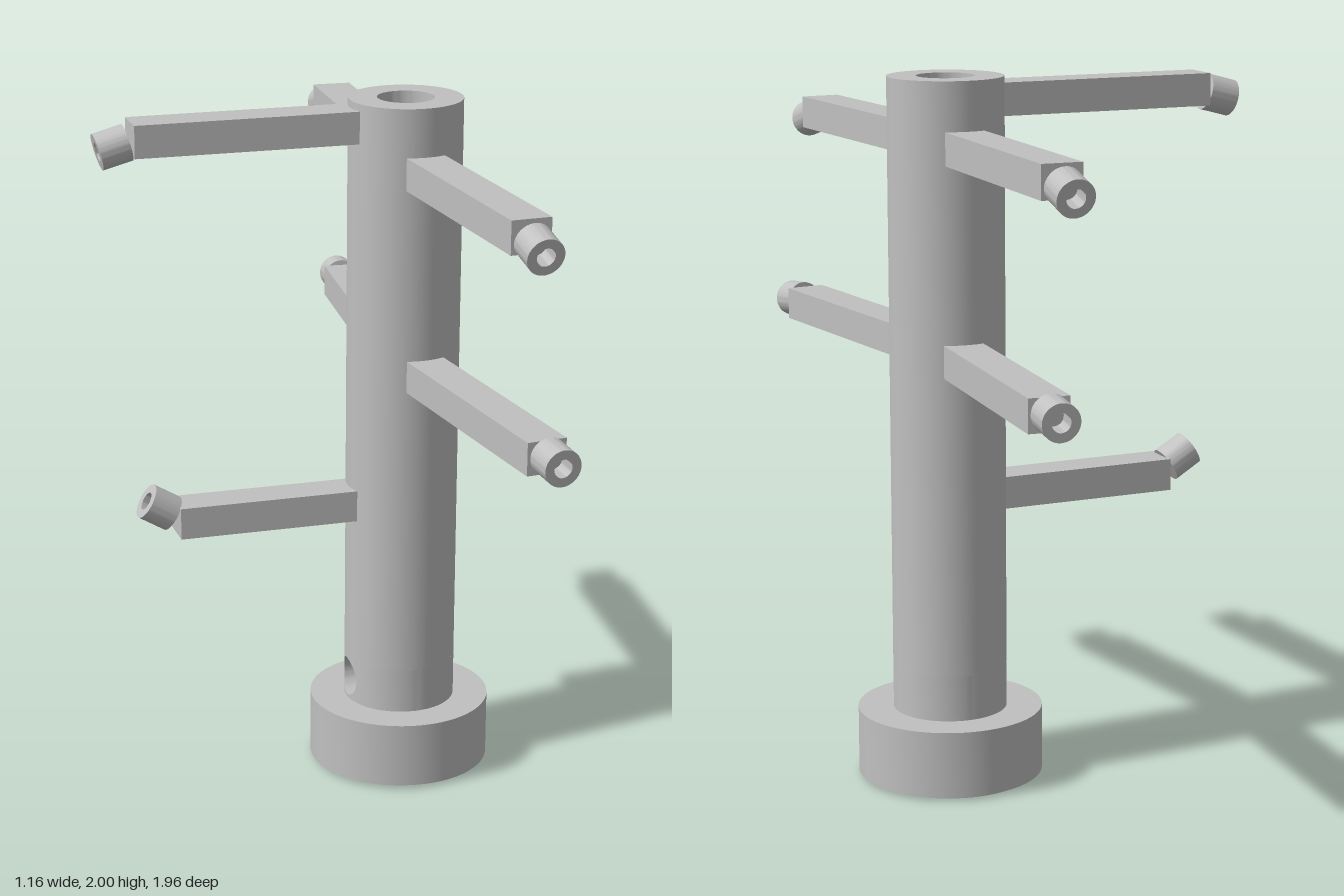
import * as THREE from 'three';
import { toCreasedNormals } from 'three/addons/utils/BufferGeometryUtils.js';

const R = 0.162, BORE = 0.081;         // column radii
const BAND_LOW = 0.2, BAND_HIGH = 0.33; // band of the column holding the side hole
const HALF_W = 0.07, HOLE_R = 0.058;

const smooth = (geo) => toCreasedNormals(geo, 0.6);

function lathe(points, start = 0, length = Math.PI * 2) {
  return smooth(new THREE.LatheGeometry(points.map(([x, y]) => new THREE.Vector2(x, y)), 64, start, length));
}

// Flat disc with round holes [x, radius], standing from y to y + height
function disc(radius, holes, y, height) {
  const shape = new THREE.Shape().absarc(0, 0, radius, 0, Math.PI * 2);
  for (const [x, r] of holes) shape.holes.push(new THREE.Path().absarc(x, 0, r, 0, Math.PI * 2, true));
  const geo = new THREE.ExtrudeGeometry(shape, { depth: height, bevelEnabled: false, curveSegments: 64 });
  return smooth(geo.rotateX(-Math.PI / 2).translate(0, y, 0));
}

// Wall patch around the side hole: outer face, tunnel and inner face in one ribbon
function holePatch() {
  const n = 48, pos = [], index = [];
  const midY = (BAND_LOW + BAND_HIGH) / 2, halfH = (BAND_HIGH - BAND_LOW) / 2;
  const rows = [[R, 1], [R, 0.5], [R, 0], [BORE, 0], [BORE, 0.5], [BORE, 1]];
  const clamp = (v) => THREE.MathUtils.clamp(v * Math.SQRT2, -1, 1);
  rows.forEach(([radius, t], i) => {
    for (let k = 0; k < n; k++) {
      const a = (k / n) * Math.PI * 2, c = Math.cos(a), s = Math.sin(a);
      const z = THREE.MathUtils.lerp(HOLE_R * c, HALF_W * clamp(c), t);
      const y = THREE.MathUtils.lerp(HOLE_R * s, halfH * clamp(s), t);
      pos.push(-Math.sqrt(radius * radius - z * z), midY + y, z);
      if (i < rows.length - 1) {
        const p = i * n + k, q = i * n + ((k + 1) % n);
        index.push(p, q, p + n, q, q + n, p + n);
      }
    }
  });
  const geo = new THREE.BufferGeometry();
  geo.setAttribute('position', new THREE.Float32BufferAttribute(pos, 3));
  geo.setIndex(index);
  return smooth(geo);
}

export function createModel() {
  const grey = new THREE.MeshStandardMaterial({ color: 0xc0c0c0 });
  grey.name = 'plain grey';

  const model = new THREE.Group();
  model.name = 'armedColumn';
  const stand = new THREE.Group();
  stand.name = 'stand';
  stand.position.set(0.313, 0, -0.022);
  model.add(stand);

  const add = (parent, name, geo) => {
    const mesh = new THREE.Mesh(geo, grey);
    mesh.name = name;
    parent.add(mesh);
    return mesh;
  };

  // Base with a central hole and an offset one, on a thin foot ring
  add(stand, 'base', disc(0.263, [[0, 0.052], [-0.115, 0.04]], 0.01, 0.19));
  add(stand, 'footRing', disc(0.242, [[0, 0.18]], 0, 0.01));

  // Hollow column
  add(stand, 'column', lathe([[R, BAND_HIGH], [R, 2], [BORE, 2], [BORE, BAND_HIGH]]));
  for (const [name, radius, from, to] of [
    ['columnLowerOuterWall', R, BAND_LOW, BAND_HIGH],
    ['columnLowerInnerWall', BORE, BAND_HIGH, BAND_LOW],
  ]) {
    const a = Math.asin(HALF_W / radius);
    add(stand, name, lathe([[radius, from], [radius, to]], Math.PI * 1.5 + a, Math.PI * 2 - 2 * a));
  }
  add(stand, 'columnSideHole', holePatch());

  // Arms: name, height, heading, reach from the axis, nozzle pitch (down is +), nozzle rise
  const arms = [
    ['upperRightArm', 1.933, -Math.PI / 2 - 0.01, 0.788, 0.26, -0.022],
    ['lowerRightArm', 0.82, -Math.PI / 2 - 0.005, 0.675, -0.54, 0.038],
    ['upperFrontArm', 1.817, 0.054, 0.862, 0.26, -0.021],
    ['upperBackArm', 1.817, Math.PI - 0.054, 0.847, 0.26, -0.021],
    ['lowerFrontArm', 1.232, 0.102, 0.902, 0.09, 0.002],
    ['lowerBackArm', 1.232, Math.PI - 0.102, 0.866, 0.09, 0.002],
  ];
  const nozzleGeo = lathe([[0, -0.043], [0.052, -0.043], [0.052, 0.043],
    [0.026, 0.043], [0.026, -0.015], [0, -0.015]]).rotateX(Math.PI / 2);
  const root = 0.145;
  for (const [name, y, heading, reach, pitch, rise] of arms) {
    const arm = new THREE.Group();
    arm.name = name;
    arm.position.y = y;
    arm.rotation.y = heading;
    stand.add(arm);
    add(arm, 'beam', new THREE.BoxGeometry(0.113, 0.092, reach - root).translate(0, 0, (reach + root) / 2));
    const nozzle = add(arm, 'nozzle', nozzleGeo);
    nozzle.position.set(0, rise, reach + 0.05);
    nozzle.rotation.x = pitch;
  }
  return model;
}
